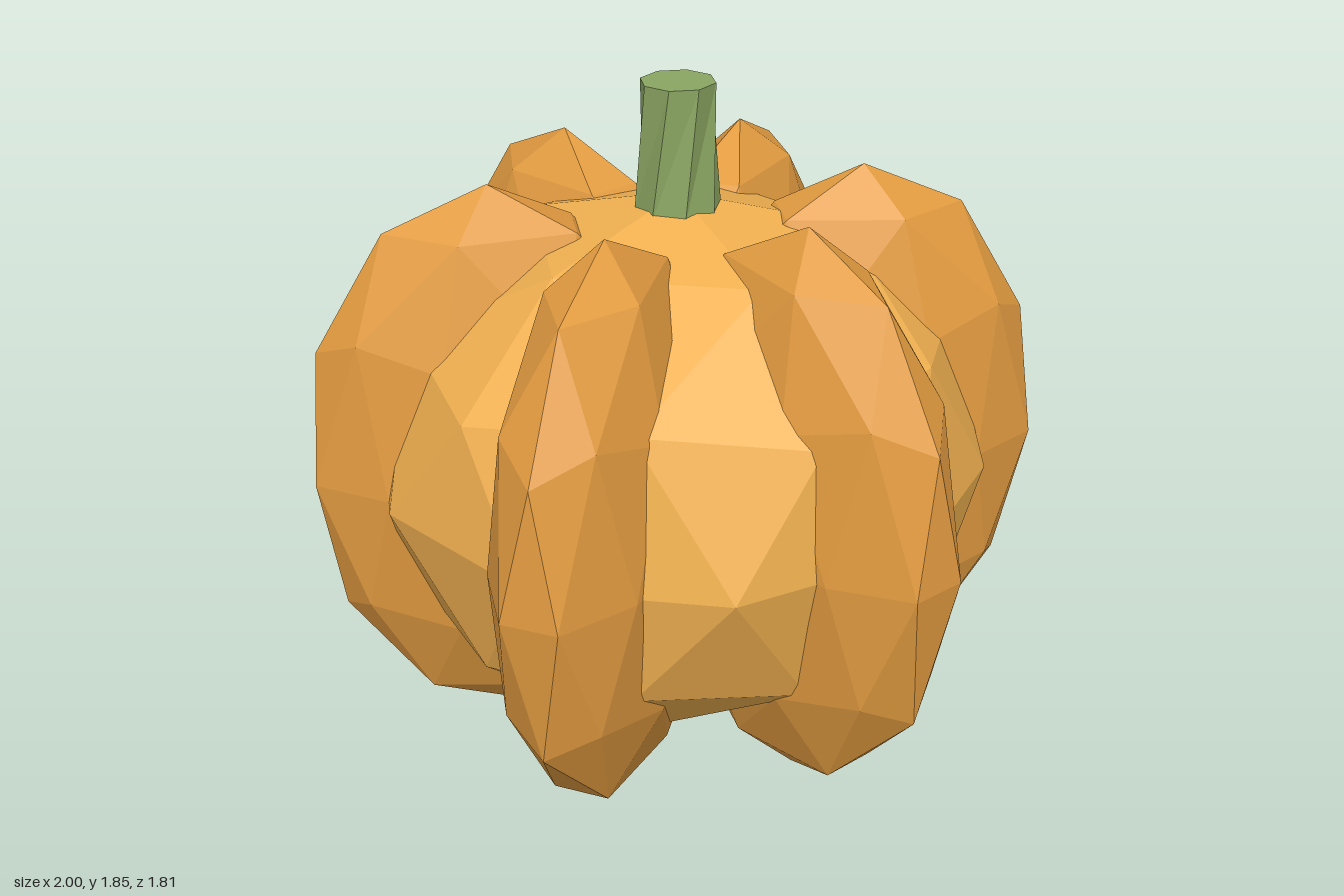
import * as THREE from 'three';

const material = (color) => new THREE.MeshStandardMaterial({ color, flatShading: true });

// Low-poly ellipsoid with a vertex at each pole, centred at (x, y, 0)
function facetedBall(rx, ry, rz, x, y) {
  const geo = new THREE.IcosahedronGeometry(1, 1);
  geo.rotateZ(-Math.atan(2 / (1 + Math.sqrt(5))));
  geo.scale(rx, ry, rz).translate(x, y, 0);
  geo.computeVertexNormals();
  return geo;
}

// Eight-sided tapered stalk whose top is twisted against its base
function twistedStalk(topRadius, baseRadius, height, twist) {
  const geo = new THREE.CylinderGeometry(topRadius, baseRadius, height, 8);
  const pos = geo.attributes.position;
  const v = new THREE.Vector3();
  const up = new THREE.Vector3(0, 1, 0);
  for (let i = 0; i < pos.count; i++) {
    v.fromBufferAttribute(pos, i).applyAxisAngle(up, twist * (v.y / height + 0.5));
    pos.setXYZ(i, v.x, v.y, v.z);
  }
  const flat = geo.toNonIndexed();
  flat.computeVertexNormals();
  return flat;
}

export function createModel() {
  const model = new THREE.Group();
  model.name = 'pumpkin';
  const add = (name, geo, mat) => {
    const mesh = new THREE.Mesh(geo, mat);
    mesh.name = name;
    model.add(mesh);
    return mesh;
  };

  // Inner body
  add('core', facetedBall(0.85, 0.75, 0.85, 0, 0.8), material(0xf0b050));

  // Six ribs around the body
  const ribGeo = facetedBall(0.526, 0.8, 0.247, 0.5, 0.8);
  const ribMat = material(0xe29b40);
  for (let i = 0; i < 6; i++) {
    add(`rib${i + 1}`, ribGeo, ribMat).rotation.y = (i * Math.PI) / 3;
  }

  // Stem
  const stem = add('stem', twistedStalk(0.1, 0.116, 0.35, Math.PI / 8), material(0x8aa562));
  stem.position.y = 1.675;

  return model;
}
